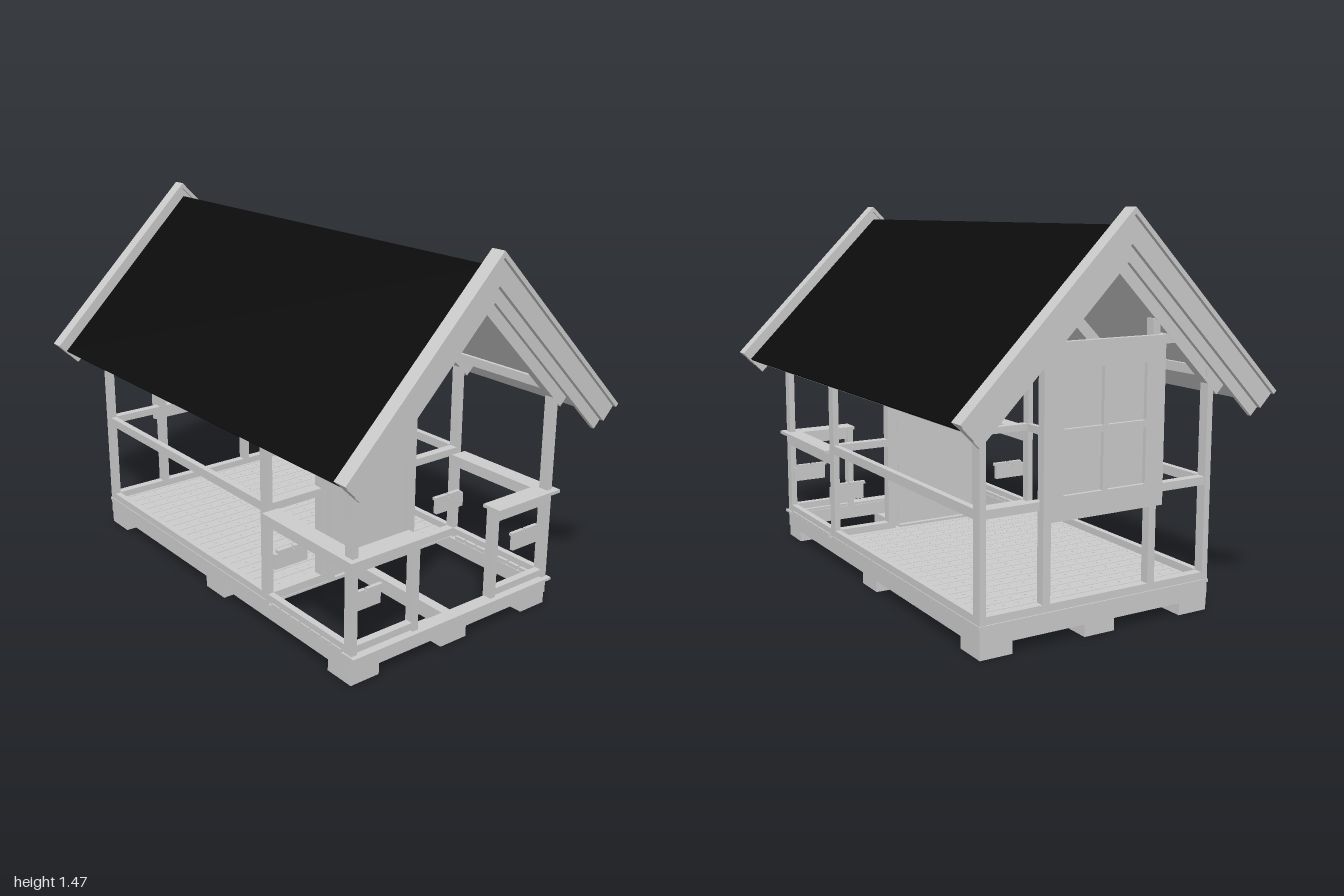
import * as THREE from 'three';
import { mergeGeometries } from 'three/addons/utils/BufferGeometryUtils.js';

const wood = new THREE.MeshStandardMaterial({ color: 0xcccccc });
const felt = new THREE.MeshStandardMaterial({ color: 0x0b0b0b });

export function createModel() {
  const model = new THREE.Group();

  const add = (name, geometry, material = wood) => {
    const mesh = new THREE.Mesh(geometry, material);
    mesh.name = name;
    model.add(mesh);
    return mesh;
  };
  const boxGeo = (x0, x1, y0, y1, z0, z1) =>
    new THREE.BoxGeometry(Math.abs(x1 - x0), y1 - y0, Math.abs(z1 - z0))
      .translate((x0 + x1) / 2, (y0 + y1) / 2, (z0 + z1) / 2);
  const box = (name, ...b) => add(name, boxGeo(...b));
  // Same box on both sides of x = 0
  const pair = (name, x0, x1, ...rest) => {
    box(name + 'Left', x0, x1, ...rest);
    box(name + 'Right', -x0, -x1, ...rest);
  };
  // 45 degree gable band between two ridge heights, ends cut square
  const gable = (name, top, bottom, z0, z1, material = wood, cut = 0.185) => {
    const xt = (top - cut) / 2, xb = (bottom - cut) / 2;
    const shape = new THREE.Shape([
      [0, top], [-xt, top - xt], [-xb, bottom - xb], [0, bottom], [xb, bottom - xb], [xt, top - xt],
    ].map(p => new THREE.Vector2(...p)));
    const g = new THREE.ExtrudeGeometry(shape, { depth: z1 - z0, bevelEnabled: false });
    return add(name, g.translate(0, 0, z0), material);
  };

  // Feet and floor frame
  for (const x of [-0.42, 0, 0.42])
    for (const z of [-0.783, 0, 0.783]) box('foot', x - 0.063, x + 0.063, 0, 0.046, z - 0.063, z + 0.063);
  pair('sideBeam', 0.447, 0.485, 0.046, 0.105, -0.847, 0.85);
  box('middleBeam', -0.02, 0.02, 0.046, 0.105, -0.81, 0.81);
  box('frontBeam', -0.447, 0.447, 0.046, 0.105, 0.81, 0.85);
  box('backBeam', -0.447, 0.447, 0.046, 0.105, -0.847, -0.807);

  // Floor planks with nail heads, and the plank ends around the porch
  const planks = [], nails = [];
  const count = 22, step = 1.21 / count;
  for (let i = 0; i < count; i++) {
    const z = -0.85 + i * step;
    planks.push(boxGeo(-0.488, 0.488, 0.105, 0.118, z, z + step - 0.003));
    for (let j = 0; j < 15; j++) {
      const x = -0.434 + j * 0.062;
      nails.push(boxGeo(x - 0.003, x + 0.003, 0.118, 0.12, z + step / 2 - 0.003, z + step / 2 + 0.003));
    }
  }
  planks.push(boxGeo(-0.485, 0.485, 0.098, 0.107, -0.845, 0.36));
  add('floorPlanks', mergeGeometries(planks));
  add('floorNails', mergeGeometries(nails));
  for (let i = 0; i < 7; i++) {
    const z = 0.39 + i * 0.059;
    pair('porchPlankEnd', 0.45, 0.488, 0.105, 0.12, z, z + 0.05);
  }
  box('porchFrontBoard', -0.492, 0.492, 0.105, 0.115, 0.815, 0.87);

  // Corner and wall posts, plates and side rails
  for (const [z0, z1] of [[0.81, 0.85], [0.326, 0.367], [-0.847, -0.807]])
    pair('post', 0.46, 0.485, 0.105, 0.88, z0, z1);
  pair('topPlate', 0.45, 0.485, 0.87, 0.905, -0.85, 0.85);
  pair('sideSill', 0.46, 0.485, 0.118, 0.146, -0.807, 0.326);
  pair('sideRail', 0.46, 0.485, 0.47, 0.505, -0.807, 0.326);

  // Porch railing
  pair('porchInnerPost', 0.182, 0.207, 0.105, 0.465, 0.81, 0.85);
  pair('porchFrontRail', 0.207, 0.46, 0.42, 0.465, 0.815, 0.845);
  pair('porchFrontSill', 0.207, 0.46, 0.12, 0.147, 0.815, 0.845);
  pair('porchSideRail', 0.46, 0.485, 0.42, 0.465, 0.367, 0.81);
  pair('porchSideSill', 0.46, 0.485, 0.122, 0.146, 0.367, 0.81);
  pair('porchFrontLedge', 0.182, 0.507, 0.465, 0.478, 0.79, 0.872);
  pair('porchSideLedge', 0.435, 0.507, 0.465, 0.478, 0.367, 0.79);

  // Bench brackets on the house wall and the porch front
  for (const [z0, z1] of [[0.382, 0.4], [0.8, 0.815]]) {
    pair('benchBracket', 0.328, 0.475, 0.255, 0.315, z0, z1);
    pair('benchSeatEndInner', 0.32, 0.388, 0.315, 0.327, z0, z1);
    pair('benchSeatEndOuter', 0.395, 0.46, 0.315, 0.327, z0, z1);
  }

  // Front and back wall framing
  for (const [z0, z1] of [[0.33, 0.367], [-0.845, -0.81]]) {
    pair('stud', 0.207, 0.238, 0.118, 1.09, z0, z1);
    pair('wallSill', 0.238, 0.46, 0.118, 0.146, z0, z1);
    pair('wallRail', 0.238, 0.46, 0.475, 0.505, z0, z1);
    pair('wallTie', 0.238, 0.31, 1.0, 1.035, z0, z1);
  }
  box('backTie', -0.207, 0.207, 1.0, 1.03, -0.845, -0.81);
  box('backRail', -0.207, 0.207, 0.475, 0.505, -0.845, -0.81);
  box('backSill', -0.207, 0.207, 0.118, 0.146, -0.845, -0.81);

  // Door: casing, header, leaf with grooves on its hinge half
  pair('doorCasing', 0.183, 0.21, 0.12, 1.11, 0.345, 0.384);
  box('doorHeader', -0.17, 0.17, 1.125, 1.18, 0.345, 0.384);
  box('doorSill', -0.183, 0.183, 0.115, 0.128, 0.33, 0.385);
  box('doorLeaf', -0.182, 0.18, 0.128, 1.122, 0.35, 0.366);
  const edges = [-0.182, -0.133, -0.085, -0.036, 0.18];
  for (let i = 0; i < 4; i++)
    box('doorPlank', edges[i] + 0.002, edges[i + 1] - 0.002, 0.13, 1.12, 0.366, 0.375);

  // Door handle
  const plate = new THREE.CapsuleGeometry(0.011, 0.105, 4, 12);
  plate.scale(1, 1, 0.35).translate(-0.145, 0.63, 0.378);
  add('handlePlate', plate);
  const lever = new THREE.CatmullRomCurve3([
    [-0.145, 0.672, 0.376], [-0.145, 0.672, 0.4], [-0.13, 0.672, 0.408], [-0.1, 0.668, 0.408], [-0.075, 0.67, 0.405],
  ].map(p => new THREE.Vector3(...p)));
  add('handleLever', new THREE.TubeGeometry(lever, 20, 0.005, 8));
  add('keyhole', new THREE.CylinderGeometry(0.006, 0.006, 0.008, 12).rotateX(Math.PI / 2).translate(-0.145, 0.59, 0.381));

  // Back window: a panel with four recessed panes
  const panel = new THREE.Shape([[-0.245, 0.435], [0.255, 0.435], [0.255, 1.035], [-0.245, 1.035]]
    .map(p => new THREE.Vector2(...p)));
  for (const x of [-0.165, 0.015])
    for (const y of [0.52, 0.745]) {
      panel.holes.push(new THREE.Path([[x, y], [x, y + 0.2], [x + 0.16, y + 0.2], [x + 0.16, y]]
        .map(p => new THREE.Vector2(...p))));
    }
  add('windowFrame', new THREE.ExtrudeGeometry(panel, { depth: 0.022, bevelEnabled: false }).translate(0, 0, -0.87));
  box('windowPane', -0.2, 0.21, 0.5, 0.97, -0.856, -0.85);

  // Roof: felt, boards, rafters
  gable('roofFelt', 1.41, 1.398, -0.94, 0.94, felt, 0.19);
  gable('roofBoards', 1.398, 1.37, -0.94, 0.94, wood, 0.2);
  for (const z of [-0.828, -0.24, 0.348, 0.83]) gable('rafter', 1.37, 1.305, z - 0.018, z + 0.018, wood, 0.3);

  // Barge boards and their caps at both gables
  for (const s of [-1, 1]) {
    const span = (a, b) => (s > 0 ? [a, b] : [-b, -a]);
    gable('bargeCap', 1.467, 1.445, ...span(0.943, 1));
    gable('bargeBoardOuter', 1.445, 1.35, ...span(0.968, 0.985));
    gable('bargeBoardInner', 1.445, 1.292, ...span(0.952, 0.968));
  }
  return model;
}
